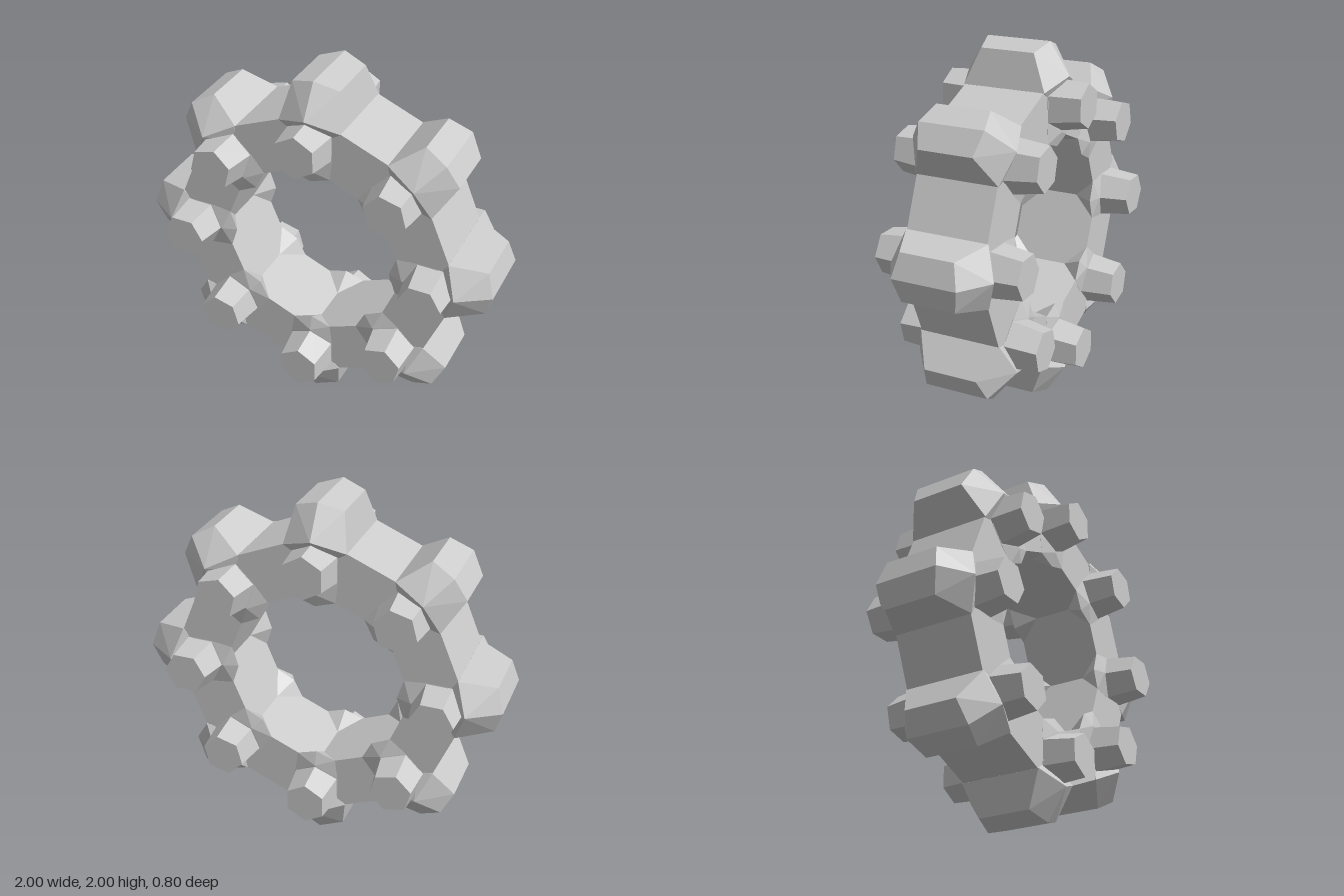
import * as THREE from 'three';
import { ConvexGeometry } from 'three/addons/geometries/ConvexGeometry.js';

const SIDES = 8;
const HALF = 0.225; // half thickness of the ring
const material = new THREE.MeshStandardMaterial({ color: 0xcccccc, flatShading: true });

// Points of a regular polygon with one corner straight up
function polygon(n, radius, cy = 0) {
  return Array.from({ length: n }, (_, i) => {
    const a = (i / n) * Math.PI * 2;
    return new THREE.Vector2(Math.sin(a) * radius, cy + Math.cos(a) * radius);
  });
}

// Convex solid from [across, radial, z] points, mirrored in x and optionally z
function solid(points, mirrorZ) {
  const all = [];
  for (const [x, y, z] of points) {
    for (const sx of x === 0 ? [1] : [1, -1]) {
      for (const sz of mirrorZ ? [1, -1] : [1]) all.push(new THREE.Vector3(x * sx, y, z * sz));
    }
  }
  return new ConvexGeometry(all);
}

function part(name, geometry, parent) {
  const mesh = new THREE.Mesh(geometry, material);
  mesh.name = name;
  parent.add(mesh);
  return mesh;
}

export function createModel() {
  const model = new THREE.Group();
  model.name = 'studdedRing';
  const wheel = new THREE.Group();
  wheel.name = 'wheel';
  wheel.position.y = 1;
  model.add(wheel);

  // Octagonal ring body
  const shape = new THREE.Shape(polygon(SIDES, 0.84));
  shape.holes.push(new THREE.Path(polygon(SIDES, 0.531).reverse()));
  const ring = new THREE.ExtrudeGeometry(shape, { depth: HALF * 2, bevelEnabled: false });
  ring.translate(0, 0, -HALF);
  part('ring', ring, wheel);

  // Outer block: six-sided, roofed, flaring towards the ring
  const block = solid([
    [0, 1, 0.18], [0.13, 0.96, 0.15],
    [0, 0.83, 0.29], [0.17, 0.77, 0.23],
    [0.1, 0.72, 0.22], [0, 0.72, 0.22],
  ], true);

  // Tapered hexagonal stud on the ring face
  const stud = solid([
    ...polygon(6, 0.118, 0.685).map((p) => [p.x, p.y, 0.4]),
    ...polygon(6, 0.143, 0.673).map((p) => [p.x, p.y, 0.2]),
  ], false);

  // Pointed pad under the stud, overhanging the inner edge of the ring
  const pad = solid([
    [0, 0.45, 0.225], [0.11, 0.487, 0.225],
    [0, 0.535, 0.1], [0.1, 0.56, 0.2],
    [0.125, 0.6, 0.228], [0.125, 0.72, 0.228], [0, 0.53, 0.25], [0, 0.72, 0.25],
  ], false);

  for (let i = 0; i < SIDES; i++) {
    const corner = new THREE.Group();
    corner.name = `corner${i + 1}`;
    corner.rotation.z = (i * Math.PI * 2) / SIDES;
    wheel.add(corner);
    part('outerBlock', block, corner);
    for (const side of ['front', 'back']) {
      const face = new THREE.Group();
      face.name = `${side}Stud`;
      face.rotation.y = side === 'back' ? Math.PI : 0;
      corner.add(face);
      part('stud', stud, face);
      part('innerPad', pad, face);
    }
  }
  return model;
}
